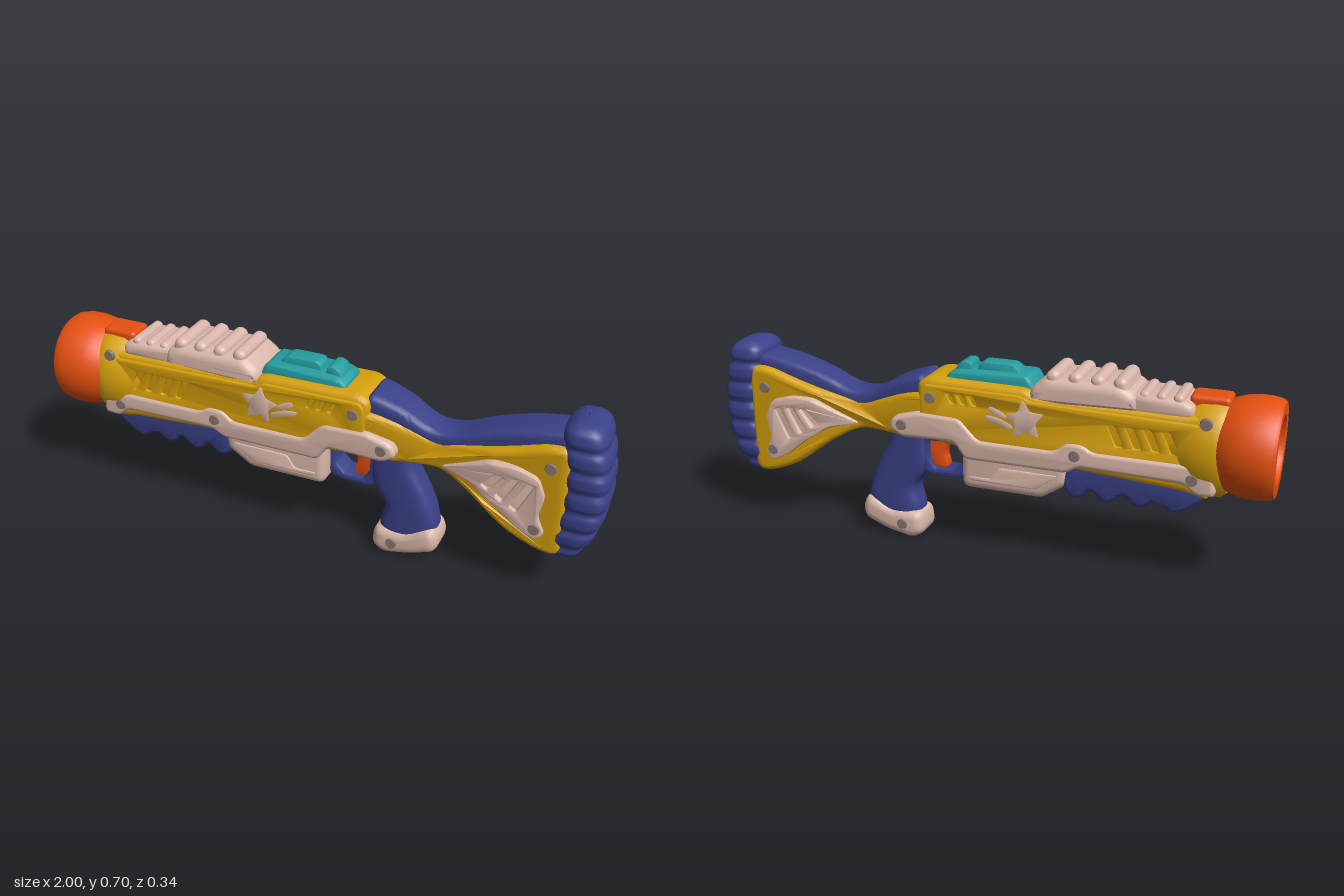
import * as THREE from 'three';
import { toCreasedNormals } from 'three/addons/utils/BufferGeometryUtils.js';
import { RoundedBoxGeometry } from 'three/addons/geometries/RoundedBoxGeometry.js';
import { ParametricGeometry } from 'three/addons/geometries/ParametricGeometry.js';

const paint = (name, color) => {
  const m = new THREE.MeshStandardMaterial({ color });
  m.name = name;
  return m;
};

// Closed outline with corners rounded by radius r
function roundedPath(points, r, PathType = THREE.Shape) {
  const path = new PathType();
  const p = points.map(([x, y]) => new THREE.Vector2(x, y));
  p.forEach((c, i) => {
    const toward = (q) => {
      const d = q.clone().sub(c);
      return c.clone().addScaledVector(d, Math.min(r / d.length(), 0.49));
    };
    const a = toward(p[(i + p.length - 1) % p.length]);
    const b = toward(p[(i + 1) % p.length]);
    if (i) path.lineTo(a.x, a.y); else path.moveTo(a.x, a.y);
    path.quadraticCurveTo(c.x, c.y, b.x, b.y);
  });
  path.closePath();
  return path;
}

// Linear lookup in a table of [x, value]
function lookup(table, x) {
  for (let i = 1; i < table.length; i++) {
    const [x0, a] = table[i - 1], [x1, b] = table[i];
    if (x <= x1) return THREE.MathUtils.lerp(a, b, THREE.MathUtils.clamp((x - x0) / (x1 - x0), 0, 1));
  }
  return table[table.length - 1][1];
}

// Side outline extruded symmetrically to z = +-half, with rounded rims
function slabGeometry(points, half, { r = 0.02, bevel = 0.02, holes = [], width = null } = {}) {
  const shape = roundedPath(points, r);
  holes.forEach((h) => shape.holes.push(roundedPath(h, 0.008, THREE.Path)));
  const geo = new THREE.ExtrudeGeometry(shape, {
    depth: 2 * (half - bevel), bevelThickness: bevel, bevelSize: bevel, bevelOffset: -bevel,
    bevelSegments: bevel > 0.01 ? 4 : 2, curveSegments: 6,
  });
  geo.translate(0, 0, bevel - half);
  if (width) {
    const p = geo.attributes.position;
    for (let i = 0; i < p.count; i++) p.setZ(i, p.getZ(i) * lookup(width, p.getX(i)));
  }
  return toCreasedNormals(geo, 0.75);
}

// Upright body from rows of [y, xMin, xMax, halfZ]
function loftGeometry(rows, ripple = () => 0, stacks = 40) {
  const a = new THREE.CatmullRomCurve3(rows.map(([y, l, r]) => new THREE.Vector3(l, y, r)), false, 'catmullrom');
  const b = new THREE.CatmullRomCurve3(rows.map((q) => new THREE.Vector3(q[3], 0, 0)), false, 'catmullrom');
  const squash = (s) => Math.sign(s) * Math.pow(Math.abs(s), 0.6);
  return new ParametricGeometry((u, v, out) => {
    const t = THREE.MathUtils.clamp(v, 0, 1), k = a.getPoint(t), d = ripple(k.y);
    const ang = u * Math.PI * 2;
    out.set((k.x + k.z) / 2 + squash(Math.sin(ang)) * Math.max((k.z - k.x) / 2 - d, 0.001), k.y,
      squash(Math.cos(ang)) * Math.max(b.getPoint(t).x - d, 0.001));
  }, 40, stacks);
}

// Slanted ventilation slots
const slots = (n, x, y, step, w, h, lean) => Array.from({ length: n }, (_, i) => {
  const s = x + i * step;
  return [[s, y], [s + w, y], [s + w + lean, y + h], [s + lean, y + h]];
});

export function createModel() {
  const orange = paint('orange', 0xe5500f), yellow = paint('yellow', 0xd6a00b);
  const pink = paint('pale pink', 0xdab7aa), blue = paint('navy blue', 0x3a4188);
  const teal = paint('teal', 0x259ea0), grey = paint('screw grey', 0x85766f);

  const model = new THREE.Group();
  model.name = 'toyBlaster';
  const add = (name, geo, mat, x = 0, y = 0, z = 0) => {
    const mesh = new THREE.Mesh(geo, mat);
    mesh.name = name;
    mesh.position.set(x, y, z);
    model.add(mesh);
    return mesh;
  };
  const slab = (name, mat, pts, half, opts) => add(name, slabGeometry(pts, half, opts), mat);
  const turned = (pts) => {
    const geo = new THREE.LatheGeometry(pts.map(([r, y]) => new THREE.Vector2(r, y)), 40);
    return toCreasedNormals(geo.rotateZ(Math.PI / 2).toNonIndexed(), 0.7);
  };

  // Muzzle with a blue plug deep inside
  add('muzzle', turned([[0.11, 0.78], [0.135, 0.82], [0.152, 0.845], [0.163, 0.88], [0.169, 0.92], [0.168, 0.96],
    [0.162, 0.99], [0.155, 1], [0.113, 1], [0.105, 0.99], [0.1, 0.86]]), orange, 0, 0.5);
  add('muzzlePlug', new THREE.CircleGeometry(0.104, 32).rotateY(-Math.PI / 2), blue, -0.88, 0.5);
  add('frontCollar', turned([[0.1, 0.6], [0.13, 0.67], [0.15, 0.72], [0.165, 0.75], [0.168, 0.8], [0.166, 0.83],
    [0.15, 0.848], [0.1, 0.85]]), yellow, 0, 0.486).scale.z = 0.81;
  add('topTab', new RoundedBoxGeometry(0.13, 0.1, 0.1, 3, 0.015), orange, -0.775, 0.614);

  // Receiver: core plus a slotted side shell
  slab('receiver', yellow, [[-0.8, 0.33], [-0.8, 0.61], [-0.68, 0.605], [-0.22, 0.61], [-0.18, 0.632], [0.17, 0.637],
    [0.21, 0.615], [0.21, 0.42], [0.1, 0.4], [-0.7, 0.35]], 0.103, { bevel: 0.025 });
  slab('receiverSides', yellow, [[-0.76, 0.38], [-0.76, 0.585], [-0.2, 0.595], [-0.17, 0.612], [0.18, 0.615],
    [0.195, 0.59], [0.195, 0.44], [0, 0.4]], 0.113, {
    bevel: 0.006, holes: [...slots(4, -0.7, 0.48, 0.06, 0.026, 0.07, 0.033), ...slots(3, -0.015, 0.558, 0.04, 0.016, 0.035, 0.018)],
  });

  // Star splash on both sides
  const star = Array.from({ length: 10 }, (_, i) => {
    const a = 0.2 + i * Math.PI / 5, r = i % 2 ? 0.037 : 0.074;
    return [-0.185 + r * Math.cos(a), 0.53 + r * Math.sin(a)];
  });
  slab('starSplash', pink, star, 0.116, { r: 0.012, bevel: 0.001 });
  slab('upperDrop', pink, [[-0.13, 0.53], [-0.1, 0.555], [-0.06, 0.568], [-0.055, 0.55], [-0.09, 0.535]], 0.116, { bevel: 0.001 });
  slab('lowerDrop', pink, [[-0.15, 0.505], [-0.09, 0.53], [-0.04, 0.535], [-0.05, 0.515], [-0.1, 0.505], [-0.13, 0.49]], 0.116, { bevel: 0.001 });

  // Ribbed top cover in two steps
  slab('frontTopCover', pink, [[-0.735, 0.59], [-0.735, 0.635], [-0.7, 0.65], [-0.53, 0.658], [-0.53, 0.59]], 0.093, { bevel: 0.025 });
  slab('rearTopCover', pink, [[-0.56, 0.6], [-0.55, 0.655], [-0.5, 0.682], [-0.25, 0.682], [-0.2, 0.645], [-0.185, 0.6],
    [-0.3, 0.59]], 0.11, { bevel: 0.035 });
  [-0.685, -0.63, -0.575].forEach((x) =>
    add('frontRib', new RoundedBoxGeometry(0.036, 0.06, 0.165, 3, 0.016), pink, x, 0.637).rotation.z = -0.25);
  [-0.5, -0.425, -0.35, -0.275].forEach((x) =>
    add('rearRib', new RoundedBoxGeometry(0.05, 0.08, 0.192, 4, 0.023), pink, x, 0.665).rotation.z = -0.3);

  // Teal sight block
  slab('sightBase', teal, [[-0.215, 0.6], [-0.18, 0.668], [0.08, 0.664], [0.115, 0.645], [0.12, 0.61]], 0.068, { bevel: 0.015 });
  slab('sightRail', teal, [[-0.16, 0.64], [-0.12, 0.692], [0.005, 0.692], [0.02, 0.64]], 0.035, { bevel: 0.008 });
  slab('rearSight', teal, [[0.025, 0.64], [0.035, 0.692], [0.075, 0.688], [0.1, 0.64]], 0.044, { bevel: 0.008 });

  // Lower rail, magazine box and scalloped fore grip
  slab('lowerRail', pink, [[-0.825, 0.355], [-0.815, 0.42], [-0.76, 0.452], [-0.42, 0.452], [-0.385, 0.474], [-0.33, 0.474],
    [-0.29, 0.44], [-0.02, 0.44], [0.05, 0.51], [0.2, 0.515], [0.3, 0.485], [0.315, 0.445], [0.265, 0.415], [0.07, 0.422],
    [0.03, 0.365], [-0.33, 0.365], [-0.37, 0.39], [-0.72, 0.385], [-0.76, 0.35]], 0.121, { bevel: 0.015 });
  slab('magazine', pink, [[-0.34, 0.42], [-0.33, 0.31], [-0.24, 0.25], [0.035, 0.25], [0.05, 0.27], [0.05, 0.42]], 0.1, { bevel: 0.03 });
  slab('magazinePanel', pink, [[-0.3, 0.345], [-0.22, 0.285], [0.01, 0.285], [0.02, 0.3], [-0.06, 0.3], [-0.09, 0.345]], 0.106, { bevel: 0.006, r: 0.01 });
  const scallops = [[-0.32, 0.4], [-0.77, 0.4], [-0.785, 0.33], [-0.755, 0.3]];
  [-0.68, -0.565, -0.455, -0.35].forEach((x) => scallops.push([x - 0.025, 0.268], [x + 0.012, 0.268], [x + 0.045, 0.308]));
  slab('foreGrip', blue, scallops, 0.094, { bevel: 0.022, r: 0.03 });

  // Trigger guard, trigger, pistol grip and its foot
  slab('triggerGuard', blue, [[0.02, 0.43], [0.02, 0.31], [0.07, 0.257], [0.2, 0.255], [0.27, 0.3], [0.27, 0.43]], 0.045, {
    bevel: 0.01, r: 0.04,
    holes: [[[0.068, 0.385], [0.068, 0.32], [0.1, 0.285], [0.175, 0.285], [0.195, 0.32], [0.195, 0.385]]],
  });
  slab('trigger', orange, [[0.12, 0.405], [0.21, 0.405], [0.21, 0.285], [0.135, 0.28], [0.13, 0.295], [0.145, 0.34]], 0.025, { bevel: 0.008 });
  add('pistolGrip', loftGeometry([[0.06, 0.24, 0.42, 0.058], [0.12, 0.235, 0.443, 0.061], [0.2, 0.25, 0.43, 0.06],
    [0.27, 0.205, 0.402, 0.06], [0.32, 0.195, 0.375, 0.06], [0.37, 0.2, 0.35, 0.06], [0.44, 0.2, 0.335, 0.06]]), blue);
  slab('gripFoot', pink, [[0.213, 0.03], [0.222, 0.1], [0.25, 0.113], [0.34, 0.112], [0.4, 0.145], [0.44, 0.148], [0.46, 0.1],
    [0.45, 0.055], [0.36, 0.02], [0.26, 0]], 0.072, { bevel: 0.035, r: 0.025 });

  // Shoulder stock, pinched at the neck
  const width = [[0.2, 1.02], [0.32, 0.8], [0.45, 0.62], [0.53, 0.78], [0.63, 1], [0.9, 1]];
  const capWidth = [[0.2, 1.1], [0.45, 0.8], [0.65, 0.93], [0.9, 1]];
  slab('stock', yellow, [[0.13, 0.43], [0.15, 0.58], [0.23, 0.575], [0.33, 0.545], [0.44, 0.502], [0.57, 0.53], [0.68, 0.56],
    [0.81, 0.605], [0.88, 0.6], [0.88, 0.4], [0.88, 0.2], [0.81, 0.2], [0.7, 0.245], [0.57, 0.345], [0.46, 0.408],
    [0.36, 0.41], [0.26, 0.4]], 0.1, { bevel: 0.02, r: 0.05, width });
  slab('stockTop', blue, [[0.17, 0.52], [0.19, 0.637], [0.24, 0.627], [0.33, 0.593], [0.4, 0.545], [0.49, 0.541], [0.6, 0.59],
    [0.73, 0.628], [0.88, 0.65], [0.88, 0.56], [0.68, 0.53], [0.57, 0.49], [0.44, 0.46], [0.33, 0.51]],
  0.075, { bevel: 0.025, r: 0.05, width: capWidth });
  const panel = [[0.45, 0.425], [0.54, 0.465], [0.62, 0.505], [0.71, 0.507], [0.785, 0.485], [0.812, 0.42], [0.795, 0.34], [0.825, 0.28],
    [0.79, 0.253], [0.73, 0.285], [0.65, 0.35], [0.56, 0.405]];
  slab('stockPanelBase', pink, panel, 0.103, { bevel: 0.006, width });
  slab('stockPanel', pink, panel, 0.113, { bevel: 0.006, width, holes: [
    [[0.6, 0.415], [0.625, 0.4], [0.675, 0.465], [0.645, 0.465]],
    [[0.65, 0.39], [0.675, 0.37], [0.725, 0.465], [0.7, 0.465]],
    [[0.7, 0.36], [0.725, 0.345], [0.775, 0.455], [0.75, 0.46]]] });

  // Butt pad with stacked cushions
  const cushions = (y) => 0.008 * Math.pow(Math.abs(Math.cos((y - 0.236) * Math.PI / 0.0745)), 5);
  add('buttPad', loftGeometry([[0.178, 0.865, 0.875, 0.012], [0.183, 0.835, 0.905, 0.06], [0.21, 0.812, 0.94, 0.088],
    [0.27, 0.825, 0.972, 0.104], [0.34, 0.842, 0.993, 0.108], [0.43, 0.85, 1.003, 0.109], [0.52, 0.845, 0.997, 0.109],
    [0.6, 0.832, 0.983, 0.106], [0.65, 0.832, 0.968, 0.1], [0.678, 0.848, 0.95, 0.085], [0.687, 0.87, 0.92, 0.05], [0.69, 0.89, 0.9, 0.012]],
  cushions, 90), blue);

  // Screws on both sides
  [[-0.778, 0.592, 0.114], [-0.747, 0.404, 0.121], [-0.36, 0.432, 0.121], [0.262, 0.462, 0.121], [0.157, 0.57, 0.113],
    [0.817, 0.527, 0.1], [0.79, 0.297, 0.113], [0.294, 0.06, 0.072]].forEach(([x, y, z]) => {
    for (const side of [-1, 1]) {
      add('screw', new THREE.CylinderGeometry(0.018, 0.021, 0.012, 18).rotateX(side * Math.PI / 2), grey, x, y, side * z);
    }
  });
  return model;
}
